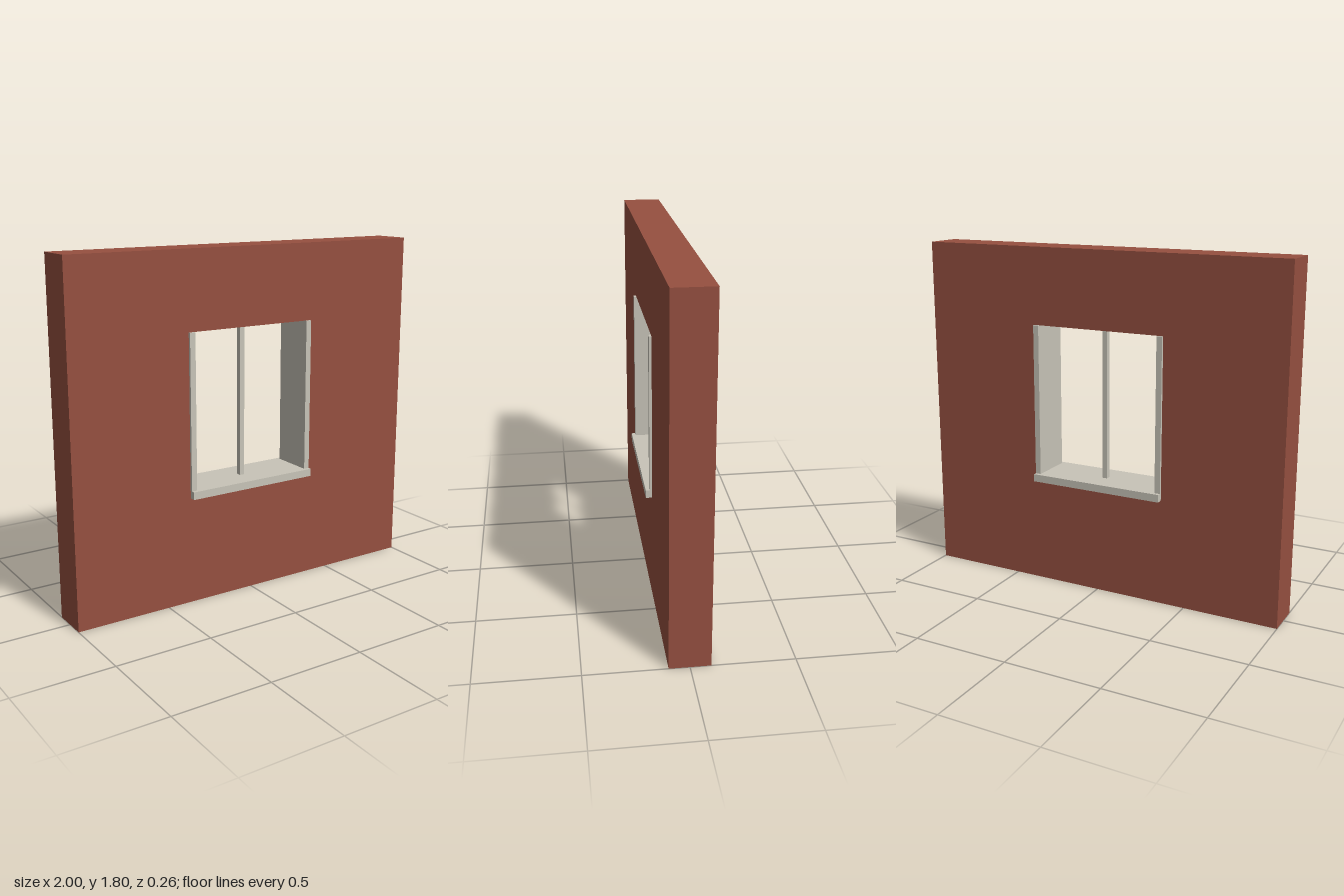
import * as THREE from 'three';

export function createModel() {
  const model = new THREE.Group();
  model.name = 'wallWithWindow';

  const brick = new THREE.MeshStandardMaterial({ color: 0x965040 });
  brick.name = 'brick red';
  const trim = new THREE.MeshStandardMaterial({ color: 0xc8c4b8 });
  trim.name = 'pale stone';

  const wallDepth = 0.2;
  const opening = { half: 0.365, bottom: 0.56, top: 1.4 };

  // Wall slab with a window opening cut through it
  const outline = new THREE.Shape([
    new THREE.Vector2(-1, 0), new THREE.Vector2(1, 0),
    new THREE.Vector2(1, 1.8), new THREE.Vector2(-1, 1.8),
  ]);
  outline.holes.push(new THREE.Path([
    new THREE.Vector2(-opening.half, opening.bottom),
    new THREE.Vector2(-opening.half, opening.top),
    new THREE.Vector2(opening.half, opening.top),
    new THREE.Vector2(opening.half, opening.bottom),
  ]));
  const wallGeometry = new THREE.ExtrudeGeometry(outline, { depth: wallDepth, bevelEnabled: false });
  wallGeometry.translate(0, 0, -wallDepth / 2);
  const wall = new THREE.Mesh(wallGeometry, brick);
  wall.name = 'wall';
  model.add(wall);

  // Trim bar standing on a given height
  function addBar(name, width, height, depth, x, bottom) {
    const bar = new THREE.Mesh(new THREE.BoxGeometry(width, height, depth), trim);
    bar.name = name;
    bar.position.set(x, bottom + height / 2, 0);
    model.add(bar);
  }

  // Sill projects past both wall faces; jambs and mullion stand on it
  const sillHeight = 0.04;
  const sillTop = opening.bottom + sillHeight;
  const frameHeight = opening.top - sillTop;
  addBar('sill', opening.half * 2, sillHeight, 0.264, 0, opening.bottom);
  for (const [name, side] of [['leftJamb', 1], ['rightJamb', -1]]) {
    addBar(name, 0.03, frameHeight, 0.226, side * (opening.half - 0.015), sillTop);
  }
  addBar('mullion', 0.026, frameHeight, 0.03, 0, sillTop);

  return model;
}
